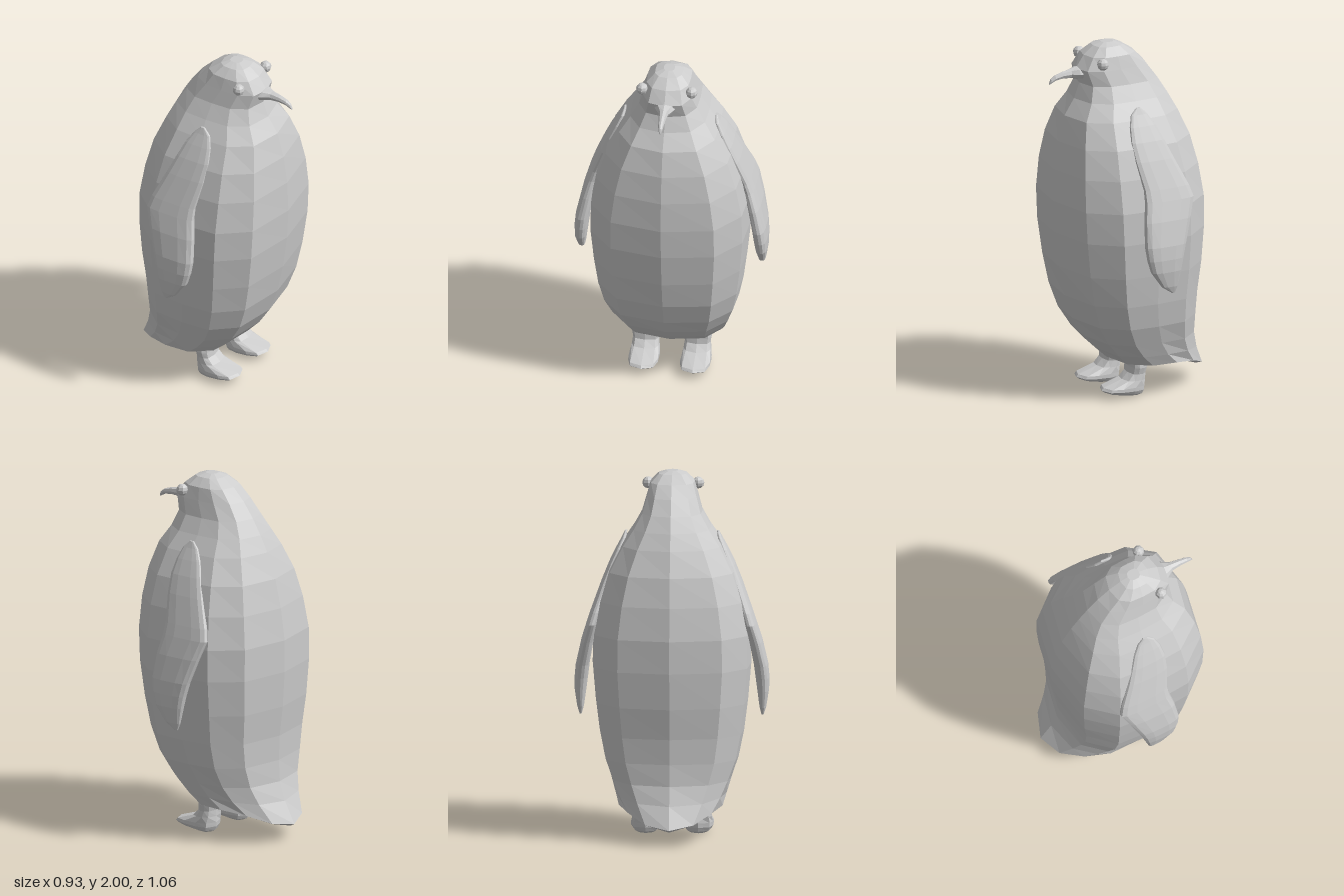
import * as THREE from 'three';

const grey = new THREE.MeshStandardMaterial({ color: 0xcccccc });
grey.name = 'plainGrey';

// Skin a stack of equal-length rings, close both ends, and keep facets flat.
function loft(name, rings) {
  const n = rings[0].length;
  const pos = [];
  const tri = (a, b, c) => pos.push(...a, ...b, ...c);
  const middle = (ring) => [0, 1, 2].map((k) => ring.reduce((s, p) => s + p[k], 0) / n);
  const last = rings[rings.length - 1];
  const top = middle(rings[0]);
  const bottom = middle(last);
  for (let j = 0; j < n; j++) {
    const k = (j + 1) % n;
    tri(top, rings[0][k], rings[0][j]);
    for (let i = 0; i < rings.length - 1; i++) {
      const a = rings[i], b = rings[i + 1];
      tri(a[j], a[k], b[j]);
      tri(a[k], b[k], b[j]);
    }
    tri(bottom, last[j], last[k]);
  }
  const geo = new THREE.BufferGeometry();
  geo.setAttribute('position', new THREE.Float32BufferAttribute(pos, 3));
  geo.computeVertexNormals();
  const mesh = new THREE.Mesh(geo, grey);
  mesh.name = name;
  return mesh;
}

const circle = (n) => Array.from({ length: n }, (_, i) => {
  const a = (i / n) * Math.PI * 2;
  return [Math.cos(a), Math.sin(a)];
});

// Mirror a half outline into a closed ring.
const closeRing = (half) => [...half, ...half.slice(1, -1).reverse().map(([c, s]) => [c, -s])];

// Twelve-sided torso outline with broad front and back panels.
const torso = closeRing([[1, 0], [0.88, 0.67], [0.5, 0.98], [0, 1.015], [-0.5, 0.98], [-0.87, 0.67], [-1, 0]]);

function makeBody() {
  // height, back x, front x, half width, drop at the tail, narrowing of the tail
  const rows = [
    [2.0, 0.07, 0.14, 0.03, 0, 0],
    [1.985, 0.025, 0.19, 0.075, 0, 0],
    [1.94, -0.045, 0.25, 0.118, 0, 0],
    [1.87, -0.115, 0.3, 0.138, 0, 0],
    [1.785, -0.178, 0.277, 0.163, 0, 0],
    [1.7, -0.23, 0.31, 0.21, 0, 0],
    [1.61, -0.277, 0.37, 0.27, 0, 0],
    [1.47, -0.334, 0.41, 0.343, 0, 0],
    [1.31, -0.372, 0.433, 0.393, 0, 0],
    [1.13, -0.398, 0.441, 0.425, 0, 0],
    [0.95, -0.398, 0.432, 0.428, 0, 0],
    [0.75, -0.385, 0.405, 0.411, 0, 0],
    [0.58, -0.364, 0.37, 0.39, 0, 0],
    [0.44, -0.358, 0.32, 0.362, 0, 0],
    [0.33, -0.365, 0.25, 0.325, 0.01, 0.04],
    [0.25, -0.4, 0.178, 0.3, 0.035, 0.14],
    [0.188, -0.465, 0.11, 0.28, 0.095, 0.34],
    [0.18, -0.44, 0.08, 0.22, 0.1, 0.34],
    [0.18, -0.26, 0.05, 0.13, 0.04, 0.2],
  ];
  return loft('body', rows.map(([y, xb, xf, w, drop, taper]) => torso.map(([c, s]) => [
    (xb + xf) / 2 + c * (xf - xb) / 2 + taper * 0.06 * Math.abs(s) * Math.max(0, -c),
    y - drop * Math.max(0, -c) ** 2,
    s * w * (1 - taper * Math.max(0, -c)),
  ])));
}

// Hooked beak, skinned from base to tip.
function makeBeak() {
  // x, centre height, half height, half width
  const rows = [
    [0.26, 1.845, 0.038, 0.065],
    [0.295, 1.845, 0.035, 0.05],
    [0.335, 1.845, 0.026, 0.026],
    [0.385, 1.842, 0.02, 0.019],
    [0.43, 1.832, 0.016, 0.015],
    [0.455, 1.816, 0.014, 0.01],
    [0.465, 1.803, 0.004, 0.004],
  ];
  return loft('beak', rows.map(([x, y, h, w]) => circle(8).map(([c, s]) => [x, y + c * h, s * w])));
}

// Flipper section: gently bowed outer face and a slim rounded rim.
const blade = closeRing([[1, 0], [0.97, 0.45], [0.8, 0.82], [0.4, 1], [-0.4, 1], [-0.8, 0.82], [-0.97, 0.45], [-1, 0]]);

function makeFlipper(side) {
  // height, rear x, front x, outer z, half thickness
  const rows = [
    [1.675, 0.035, 0.06, 0.258, 0.006],
    [1.64, 0.0, 0.098, 0.274, 0.012],
    [1.58, -0.038, 0.12, 0.306, 0.018],
    [1.5, -0.072, 0.132, 0.345, 0.022],
    [1.4, -0.112, 0.125, 0.386, 0.025],
    [1.25, -0.177, 0.1, 0.441, 0.028],
    [1.185, -0.196, 0.102, 0.463, 0.03],
    [1.08, -0.16, 0.12, 0.495, 0.034],
    [0.945, -0.115, 0.13, 0.525, 0.037],
    [0.87, -0.095, 0.12, 0.532, 0.036],
    [0.8, -0.08, 0.1, 0.531, 0.031],
    [0.71, -0.06, 0.035, 0.517, 0.018],
    [0.67, -0.045, -0.025, 0.504, 0.006],
  ];
  return loft('flipper', rows.map(([y, xb, xf, z, t]) => blade.map(([c, s]) => [
    (xb + xf) / 2 + c * (xf - xb) / 2, y, side * (z - t) + s * t,
  ])));
}

// Short leg flowing into a flat, forward-pointing foot.
function makeFoot(side) {
  // height, heel x, toe x, half width, toe lift
  const rows = [
    [0.2, -0.05, 0.052, 0.075, 0],
    [0.165, -0.042, 0.05, 0.079, 0],
    [0.13, -0.035, 0.055, 0.072, 0],
    [0.095, -0.035, 0.09, 0.076, 0],
    [0.06, -0.038, 0.205, 0.084, 0],
    [0.035, -0.036, 0.217, 0.084, 0.012],
    [0.012, -0.025, 0.2, 0.072, 0.022],
    [0, 0.0, 0.14, 0.045, 0.018],
  ];
  return loft('foot', rows.map(([y, xb, xf, w, lift]) => circle(10).map(([c, s]) => [
    (xb + xf) / 2 + c * (xf - xb) / 2,
    y + lift * (c + 1) / 2,
    side * 0.143 + Math.sign(s) * Math.sqrt(Math.abs(s)) * w,
  ])));
}

function makeEye(side) {
  const eye = new THREE.Mesh(new THREE.SphereGeometry(0.033, 8, 6).toNonIndexed(), grey);
  eye.geometry.computeVertexNormals();
  eye.position.set(0.205, 1.913, side * 0.137);
  eye.name = 'eye';
  return eye;
}

export function createModel() {
  const model = new THREE.Group();
  model.name = 'penguin';
  model.add(makeBody(), makeBeak());
  for (const [side, label] of [[1, 'right'], [-1, 'left']]) {
    for (const make of [makeFlipper, makeFoot, makeEye]) {
      const part = make(side);
      part.name = label + part.name[0].toUpperCase() + part.name.slice(1);
      model.add(part);
    }
  }
  return model;
}
